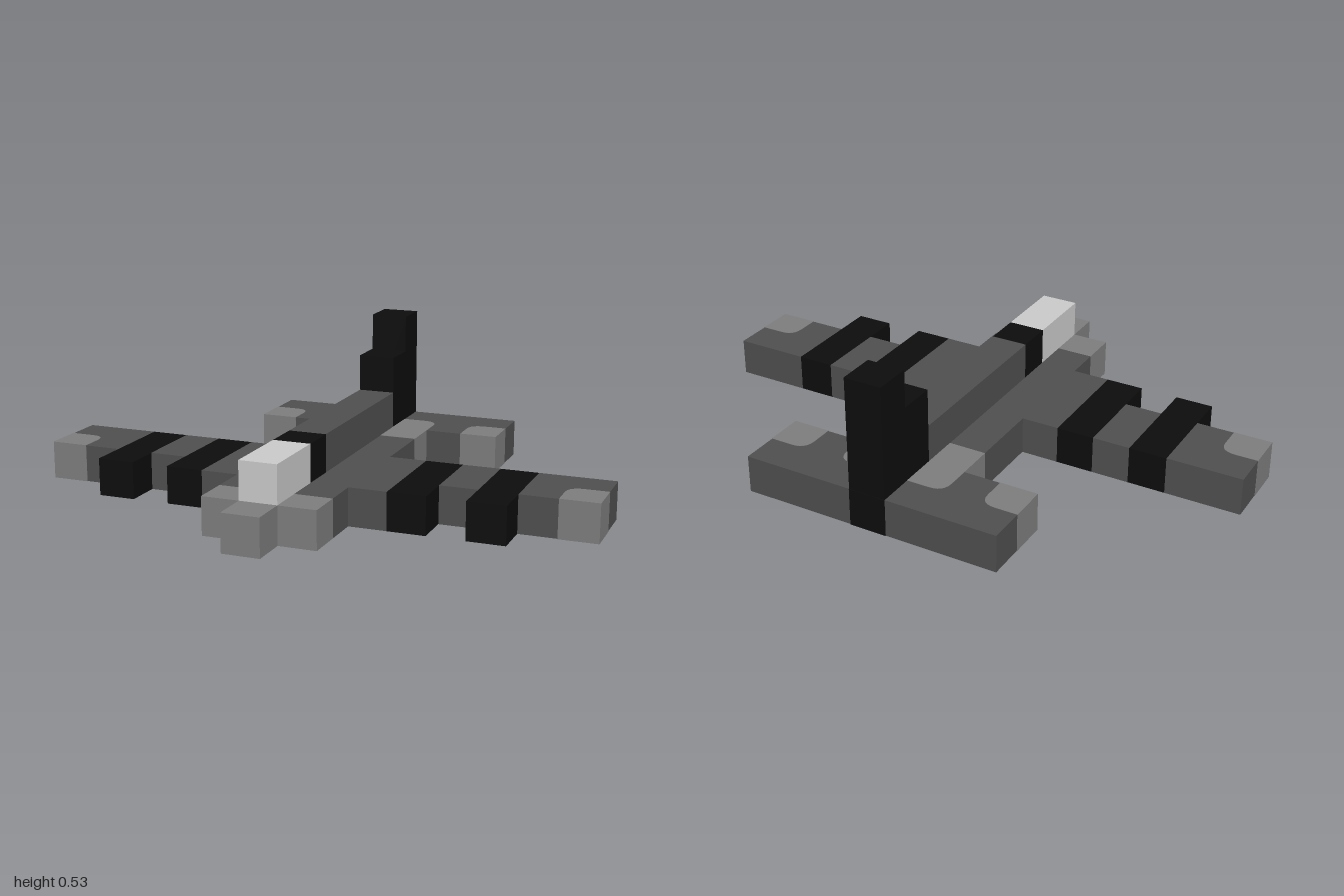
import * as THREE from 'three';

const U = 2 / 15; // edge of one block

export function createModel() {
  const group = new THREE.Group();
  const colour = (name, hex) => {
    const m = new THREE.MeshStandardMaterial({ color: hex });
    m.name = name;
    return m;
  };
  const dark = colour('dark grey', 0x4f4f4f);
  const mid = colour('mid grey', 0x7d7d7d);
  const light = colour('light grey', 0xcacaca);
  const black = colour('black', 0x0d0d0d);

  const add = (name, geometry, material) => {
    const mesh = new THREE.Mesh(geometry, material);
    mesh.name = name;
    group.add(mesh);
    return mesh;
  };

  // Box covering whole blocks: columns i0..i1, layers j0..j1, rows k0..k1
  const blocks = (name, material, i0, i1, j0, j1, k0, k1) => {
    const g = new THREE.BoxGeometry((i1 - i0 + 1) * U, (j1 - j0 + 1) * U, (k1 - k0 + 1) * U);
    add(name, g, material).position.set((i0 + i1) / 2 * U, ((j0 + j1 + 1) / 2) * U, (k0 + k1) / 2 * U);
  };

  // Painted block skin with one rounded rear corner, at the inner or outer side
  const patch = (name, side, i, k0, k1, roundOuter) => {
    const e = 0.001, r = 0.055;
    const inner = (i - 0.5) * U - e, outer = (i + 0.5) * U + e;
    const [xr, xs] = (roundOuter ? [outer, inner] : [inner, outer]).map((x) => x * side);
    const d = Math.sign(xs - xr);
    const front = -(k1 + 0.5) * U - e, back = -(k0 - 0.5) * U + e;
    const s = new THREE.Shape();
    s.moveTo(xs, front);
    s.lineTo(xs, back);
    s.lineTo(xr + d * r, back);
    s.quadraticCurveTo(xr, back, xr, back - r);
    s.lineTo(xr, front);
    s.closePath();
    const g = new THREE.ExtrudeGeometry(s, { depth: U + 2 * e, bevelEnabled: false, curveSegments: 6 });
    g.rotateX(-Math.PI / 2);
    add(name, g, mid).position.y = -e;
  };

  // Fuselage
  blocks('fuselageBase', dark, -1, 1, 0, 0, -3, 3);
  blocks('noseCore', dark, 0, 0, 0, 0, 4, 4);
  blocks('noseTip', mid, 0, 0, 0, 0, 5, 5);
  blocks('fuselageSpine', dark, 0, 0, 1, 1, -3, 1);
  blocks('cockpitBand', black, 0, 0, 1, 1, 2, 2);
  blocks('canopy', light, 0, 0, 1, 1, 3, 4);

  // Tail
  blocks('tailplane', dark, -3, 3, 0, 0, -5, -4);
  blocks('finFront', black, 0, 0, 1, 2, -4, -4);
  blocks('finRear', black, 0, 0, 1, 3, -5, -5);
  const plate = add('finRearStripe', new THREE.BoxGeometry(U, U, 0.004), black);
  plate.position.set(0, U / 2, -5.5 * U);

  // Parts repeated on both sides
  for (const [side, label] of [[1, 'left'], [-1, 'right']]) {
    const pair = (name, material, a, b, k0, k1) =>
      blocks(label + name, material, Math.min(a * side, b * side), Math.max(a * side, b * side), 0, 0, k0, k1);
    pair('NoseCheek', mid, 1, 1, 4, 4);
    pair('WingRoot', dark, 2, 2, 0, 2);
    pair('InnerEngine', black, 3, 3, 0, 2);
    pair('WingMiddle', dark, 4, 4, 0, 1);
    pair('OuterEngine', black, 5, 5, 0, 2);
    pair('WingTip', dark, 6, 7, 0, 1);
    patch(label + 'WingTipPatch', side, 7, 1, 1, false);
    patch(label + 'TailTipPatch', side, 3, -4, -4, false);
    patch(label + 'TailRootPatch', side, 1, -4, -3, true);
  }

  return group;
}
